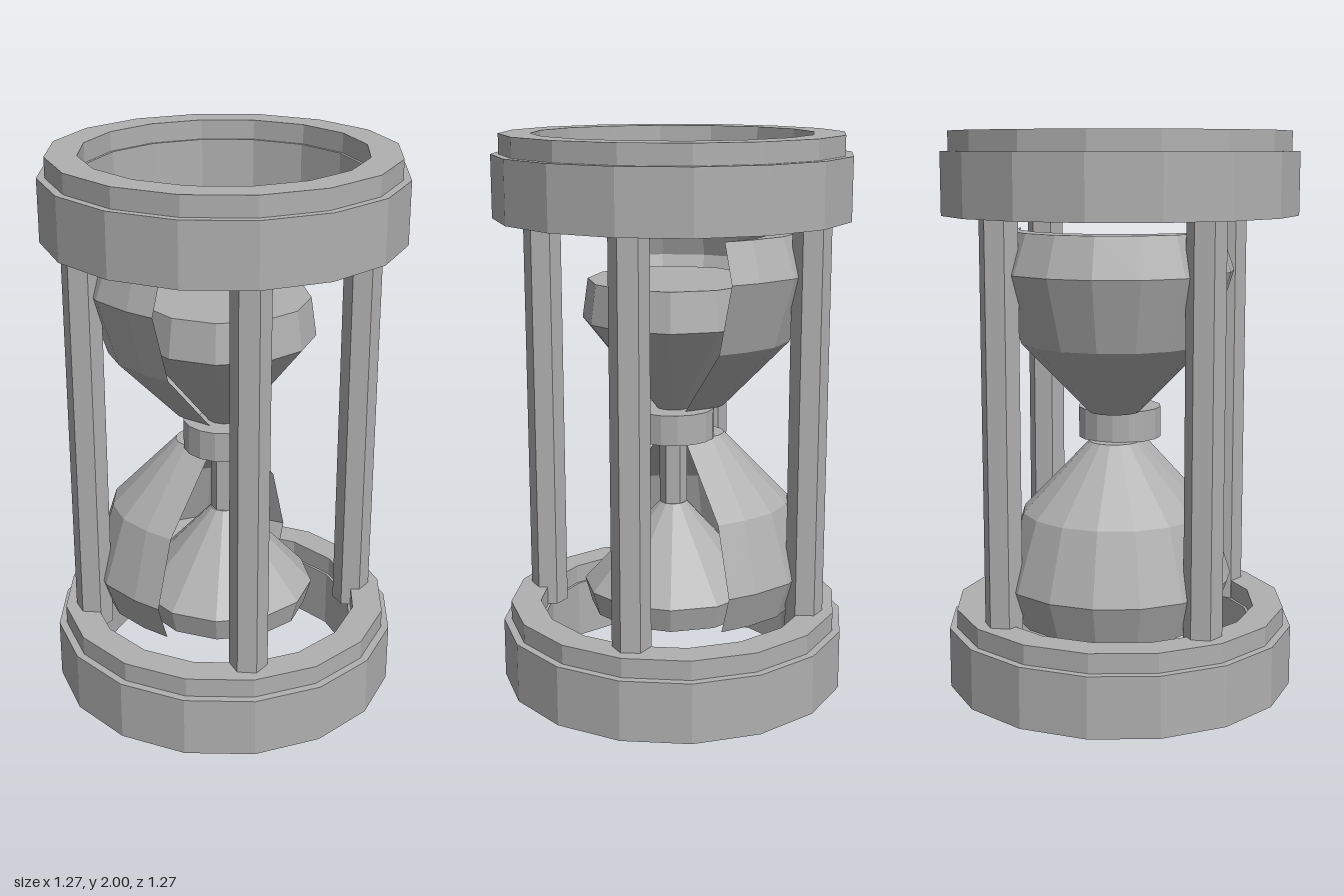
import * as THREE from 'three';

export function createModel() {
  const group = new THREE.Group();
  const grey = new THREE.MeshStandardMaterial({ color: 0xb0b0b0, flatShading: true, side: THREE.DoubleSide });
  grey.name = 'plain grey';

  const add = (name, geometry, parent = group) => {
    const mesh = new THREE.Mesh(geometry, grey);
    mesh.name = name;
    parent.add(mesh);
    return mesh;
  };
  const lathe = (points, sides, ...arc) =>
    new THREE.LatheGeometry(points.map(([r, y]) => new THREE.Vector2(r, y)), sides, ...arc);

  // Stepped end rings
  const ringProfile = [
    [0.485, 0], [0.633, 0], [0.633, 0.22], [0.605, 0.22], [0.605, 0.29],
    [0.495, 0.29], [0.495, 0.22], [0.485, 0.22], [0.485, 0],
  ];
  add('bottomRing', lathe(ringProfile, 16));
  add('topRing', lathe(ringProfile, 16)).position.y = 1.71;

  // Four hexagonal posts
  for (const x of [-0.352, 0.352]) {
    for (const z of [-0.352, 0.352]) {
      const post = add('post', new THREE.CylinderGeometry(0.068, 0.068, 1.49, 6).rotateY(Math.PI / 2));
      post.position.set(x, 0.967, z);
    }
  }

  // Half bulb: a half-revolved wall thickened straight backwards
  const depth = 0.11;
  const strip = (path) => {
    const pos = [], index = [];
    path.forEach(([x, y, z], i) => {
      pos.push(x, y, z, x, y, z - depth);
      if (i) index.push(2 * i - 2, 2 * i - 1, 2 * i, 2 * i, 2 * i - 1, 2 * i + 1);
    });
    const g = new THREE.BufferGeometry();
    g.setAttribute('position', new THREE.Float32BufferAttribute(pos, 3));
    g.setIndex(index);
    g.computeVertexNormals();
    return g;
  };
  const arcPath = ([r, y]) => Array.from({ length: 9 }, (_, i) => {
    const a = Math.PI / 2 + (i * Math.PI) / 8;
    return [r * Math.sin(a), y, r * Math.cos(a)];
  });
  const makeBulb = (name, profile) => {
    const bulb = new THREE.Group();
    bulb.name = name;
    group.add(bulb);
    const wall = () => lathe(profile, 8, Math.PI / 2, Math.PI);
    add('innerWall', wall(), bulb);
    add('outerWall', wall().translate(0, 0, -depth), bulb);
    add('neckRim', strip(arcPath(profile[0])), bulb);
    add('wideRim', strip(arcPath(profile[profile.length - 1])), bulb);
    for (const side of [-1, 1]) {
      add('cutEdge', strip(profile.map(([r, y]) => [side * r, y, 0])), bulb);
    }
  };
  const upper = [[0.09, 1.02], [0.33, 1.27], [0.41, 1.52], [0.36, 1.66]];
  makeBulb('upperBulb', upper);
  makeBulb('lowerBulb', upper.map(([r, y]) => [r, 1.934 - y]));

  // Collar at the neck
  add('neckCollar', new THREE.CylinderGeometry(0.15, 0.15, 0.11, 16)).position.y = 0.967;

  // Sand above, falling stream and pile below
  add('upperSand', lathe([[0, 1.02], [0.06, 1.02], [0.325, 1.35], [0.305, 1.49], [0, 1.49]], 12));
  add('sandStream', new THREE.CylinderGeometry(0.05, 0.05, 0.27, 6).rotateY(Math.PI / 2)).position.y = 0.785;
  add('lowerSand', lathe([[0, 0.27], [0.305, 0.27], [0.33, 0.36], [0.05, 0.665], [0, 0.665]], 12));

  return group;
}
